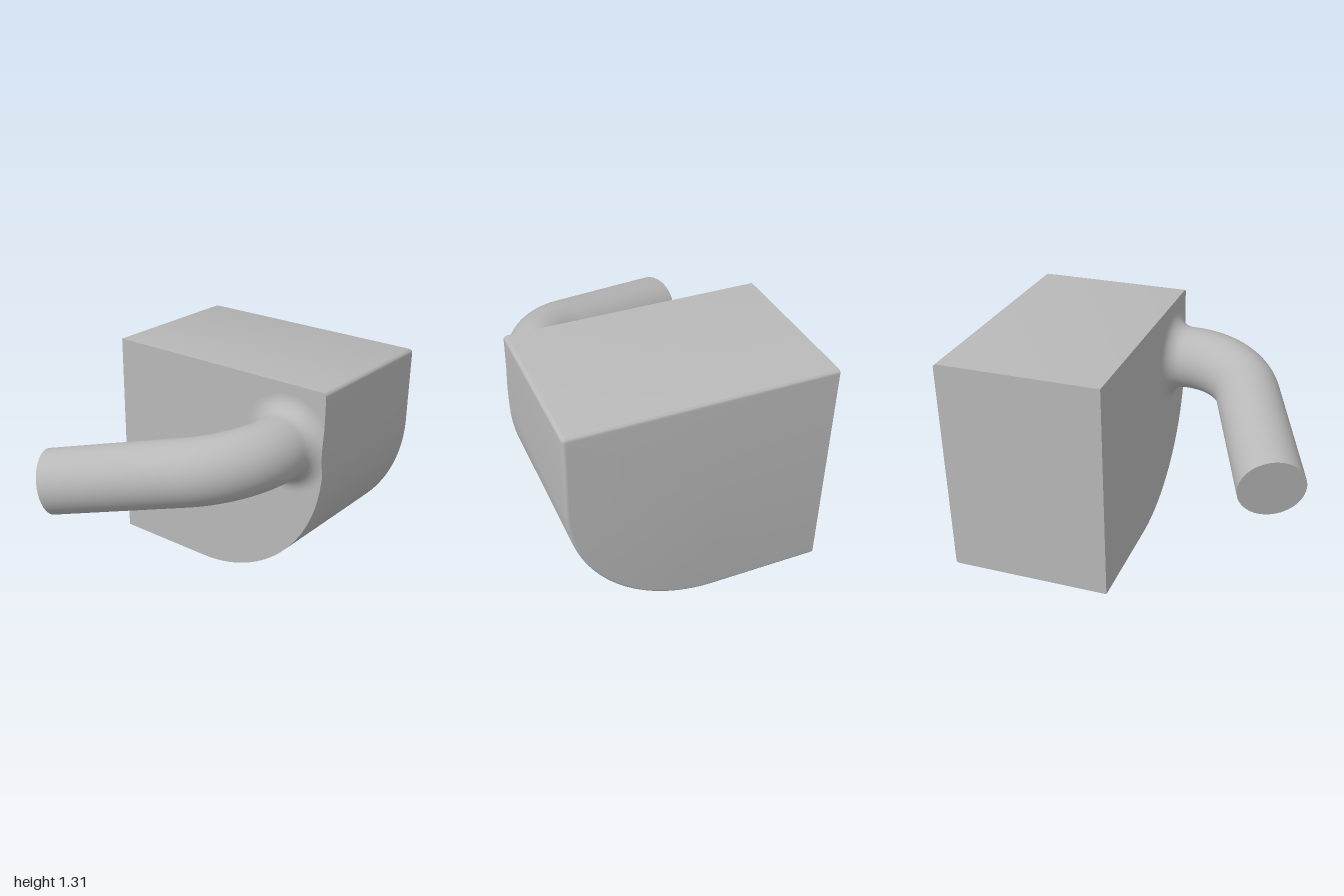
import * as THREE from 'three';
import { toCreasedNormals } from 'three/addons/utils/BufferGeometryUtils.js';

// Skins a list of closed counter-clockwise rings of Vector3
function loft(rings) {
  const n = rings[0].length, pos = [];
  for (let k = 0; k < rings.length - 1; k++) {
    for (let j = 0; j < n; j++) {
      const a = rings[k][j], b = rings[k][(j + 1) % n];
      const d = rings[k + 1][j], c = rings[k + 1][(j + 1) % n];
      for (const [p, q, r] of [[a, b, c], [a, c, d]]) {
        if (p.distanceTo(q) < 1e-6 || q.distanceTo(r) < 1e-6 || r.distanceTo(p) < 1e-6) continue;
        for (const v of [p, q, r]) pos.push(v.x, v.y, v.z);
      }
    }
  }
  const g = new THREE.BufferGeometry();
  g.setAttribute('position', new THREE.Float32BufferAttribute(pos, 3));
  return toCreasedNormals(g, 0.5);
}

const HALF = 0.75, HEIGHT = 1.31, FRONT = -0.04, BACK = -1;
const BIG = 0.85, SMALL = 0.022;

// Body outline; the inset moves every side but the left one
function outline(inset, z) {
  const pts = [new THREE.Vector3(-HALF, inset, z)];
  const arc = (cx, cy, r, from, steps) => {
    for (let i = 0; i <= steps; i++) {
      const a = from + (i / steps) * Math.PI / 2;
      pts.push(new THREE.Vector3(cx + r * Math.cos(a), cy + r * Math.sin(a), z));
    }
  };
  arc(HALF - BIG, BIG, BIG - inset, -Math.PI / 2, 48);
  arc(HALF - SMALL, HEIGHT - SMALL, SMALL - inset, 0, 8);
  pts.push(new THREE.Vector3(-HALF, HEIGHT - inset, z));
  return pts;
}

function bodyGeometry() {
  const f = 0.02, rings = [];
  const centre = z => outline(0, z).map(() => new THREE.Vector3(-0.1, 0.8, z));
  rings.push(centre(BACK));
  for (let i = 0; i <= 8; i++) { // rounded back edge
    const a = (i / 8) * Math.PI / 2;
    rings.push(outline(f * (1 - Math.sin(a)), BACK + f * (1 - Math.cos(a))));
  }
  rings.push(outline(0, FRONT), centre(FRONT));
  return loft(rings);
}

function pipeGeometry() {
  const R = 0.19, FILLET = 0.1, BEND = 0.467, ANGLE = 1.172, LENGTH = 0.811, SIDES = 72;
  const start = new THREE.Vector3(0.51, 0.955, FRONT + FILLET + 0.02);
  const z = new THREE.Vector3(0, 0, 1);
  const u = new THREE.Vector3(-0.977, -0.213, 0).normalize();
  const side = z.clone().cross(u);
  const rings = [];
  const ring = fn => rings.push(Array.from({ length: SIDES }, (_, j) => fn(j / SIDES * Math.PI * 2)));

  // Flared root, trimmed flush with the right side of the body
  const flare = (t, drop) => ring(a => {
    const dir = u.clone().multiplyScalar(Math.cos(a)).addScaledVector(side, Math.sin(a));
    const outer = R + FILLET;
    const max = dir.x > 0 ? Math.min(outer, (HALF - start.x) / dir.x) : outer;
    const r = R + (max - R) * t;
    const dr = outer - r;
    const h = FRONT + FILLET - Math.sqrt(Math.max(0, FILLET * FILLET - dr * dr));
    return new THREE.Vector3(start.x + dir.x * r, start.y + dir.y * r, drop ? FRONT : h);
  });
  flare(1, true);
  for (let i = 0; i <= 12; i++) flare(1 - Math.sin(i / 12 * Math.PI / 2), false);

  // Bend, straight run and flat end
  const section = (angle, run, r) => {
    const t = u.clone().multiplyScalar(Math.sin(angle)).addScaledVector(z, Math.cos(angle));
    const n = u.clone().multiplyScalar(Math.cos(angle)).addScaledVector(z, -Math.sin(angle));
    const c = start.clone().addScaledVector(u, BEND * (1 - Math.cos(angle)))
      .addScaledVector(z, BEND * Math.sin(angle)).addScaledVector(t, run);
    ring(a => c.clone().addScaledVector(n, r * Math.cos(a)).addScaledVector(side, r * Math.sin(a)));
  };
  for (let i = 0; i <= 32; i++) section(ANGLE * i / 32, 0, R);
  section(ANGLE, LENGTH, R);
  section(ANGLE, LENGTH, 0);
  return loft(rings);
}

export function createModel() {
  const grey = new THREE.MeshStandardMaterial({ color: 0xb8b8b8 });
  grey.name = 'plain grey';
  const group = new THREE.Group();
  const add = (name, geometry) => {
    const mesh = new THREE.Mesh(geometry, grey);
    mesh.name = name;
    group.add(mesh);
  };
  add('body', bodyGeometry());
  add('bentPipe', pipeGeometry());
  return group;
}
